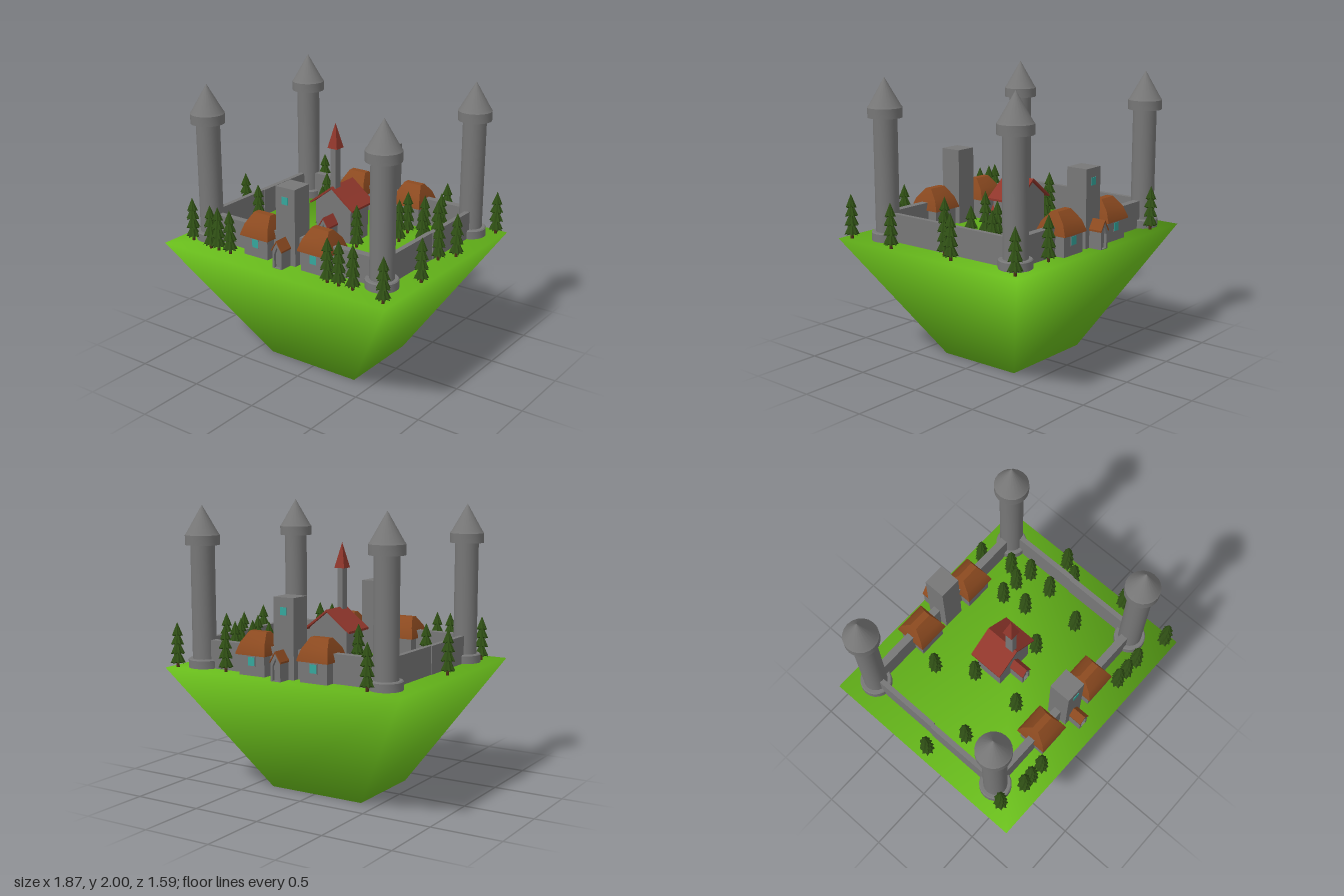
import * as THREE from 'three';
import { mergeVertices, toCreasedNormals, mergeGeometries } from 'three/addons/utils/BufferGeometryUtils.js';

const mat = (color) => new THREE.MeshStandardMaterial({ color });
const stone = mat(0x777777);
const grass = mat(0x6abf1c);
const brown = mat(0x8c4a20);
const red = mat(0x8f362b);
const glass = mat(0x35a79c);
const leaf = mat(0x2f4f14);
const bark = mat(0x4a3018);

const GROUND = 0.885;

function add(parent, name, geometry, material, x = 0, y = 0, z = 0) {
  const mesh = new THREE.Mesh(geometry, material);
  mesh.name = name;
  mesh.position.set(x, y, z);
  parent.add(mesh);
  return mesh;
}

function addGroup(parent, name, x, y, z) {
  const group = new THREE.Group();
  group.name = name;
  group.position.set(x, y, z);
  parent.add(group);
  return group;
}

// Box standing on its base
function block(w, h, d) {
  return new THREE.BoxGeometry(w, h, d).translate(0, h / 2, 0);
}

// Rectangular loft through levels [halfX, halfZ, y], lowest first
function loft(levels) {
  const n = levels.length - 1;
  const geo = new THREE.BoxGeometry(2, 1, 2, 1, n, 1);
  const p = geo.attributes.position;
  for (let i = 0; i < p.count; i++) {
    const [hx, hz, y] = levels[Math.round((p.getY(i) + 0.5) * n)];
    p.setXYZ(i, p.getX(i) * hx, y, p.getZ(i) * hz);
  }
  geo.deleteAttribute('uv');
  geo.deleteAttribute('normal');
  return mergeVertices(geo);
}

function polygon(points) {
  return new THREE.Shape(points.map(([x, y]) => new THREE.Vector2(x, y)));
}

function extrude(shape, depth) {
  return new THREE.ExtrudeGeometry(shape, { depth, bevelEnabled: false });
}

function gable(half, eave, ridge) {
  return polygon([[-half, 0], [half, 0], [half, eave], [0, ridge], [-half, eave]]);
}

// Chevron of two roof slabs, the ridge running along z
function gableRoof(half, eave, ridge, t, depth) {
  return extrude(polygon([
    [-half, eave], [0, ridge], [half, eave],
    [half, eave + t], [0, ridge + t], [-half, eave + t],
  ]), depth);
}

// Small porch with a pointed doorway
function porch(parent, roofMaterial, x, z, depth) {
  const g = addGroup(parent, 'porch', x, 0, z);
  const front = gable(0.038, 0.125, 0.188);
  const door = new THREE.Path();
  door.moveTo(-0.023, 0.004).lineTo(-0.023, 0.1).lineTo(0, 0.15).lineTo(0.023, 0.1).lineTo(0.023, 0.004);
  front.holes.push(door);
  add(g, 'porchWalls', extrude(front, depth), stone);
  add(g, 'porchDoor', extrude(gable(0.024, 0.1, 0.152), 0.01), stone, 0, 0, depth - 0.03);
  add(g, 'porchRoof', gableRoof(0.043, 0.12, 0.188, 0.012, depth + 0.005), roofMaterial);
}

function house(parent, x) {
  const g = addGroup(parent, 'house', x, 0, 0);
  add(g, 'houseWalls', block(0.205, 0.16, 0.2), stone);
  const roof = loft([[0.12, 0.12, 0.14], [0.118, 0.117, 0.155], [0.1, 0.09, 0.22], [0.07, 0.025, 0.29]]);
  add(g, 'houseRoof', toCreasedNormals(roof, 0.5), brown);
  add(g, 'houseWindow', new THREE.BoxGeometry(0.05, 0.058, 0.012), glass, 0, 0.098, 0.1);
  add(g, 'windowFrame', new THREE.BoxGeometry(0.062, 0.07, 0.006), stone, 0, 0.098, 0.1);
}

// Gate tower, porch and two houses facing +z
function gatehouse(parent, z, facing) {
  const g = addGroup(parent, 'gatehouse', -0.01, GROUND, z);
  g.scale.z = facing;
  add(g, 'gateTower', block(0.158, 0.54, 0.158), stone);
  add(g, 'towerWindow', new THREE.BoxGeometry(0.05, 0.052, 0.012), glass, 0, 0.45, 0.077);
  porch(g, brown, 0, 0.07, 0.105);
  house(g, -0.245);
  house(g, 0.245);
}

function cornerTower(parent, x, z) {
  const profile = [
    [0, 0], [0.112, 0], [0.112, 0.055], [0.105, 0.062], [0.083, 0.062], [0.083, 0.845], [0.119, 0.845],
    [0.119, 0.912], [0.108, 0.927], [0, 1.115],
  ].map(([r, y]) => new THREE.Vector2(r, y));
  add(parent, 'cornerTower', toCreasedNormals(new THREE.LatheGeometry(profile, 20), 0.5), stone, x, GROUND, z);
}

// Fir foliage: stacked cones with pointed, star-shaped skirts
function firFoliage() {
  const tiers = [[0.052, 0.03, 0.11], [0.05, 0.095, 0.11], [0.047, 0.16, 0.1], [0.038, 0.22, 0.095]];
  return mergeGeometries(tiers.map(([r, y, h], k) => {
    const cone = new THREE.ConeGeometry(r, h, 16).toNonIndexed();
    const p = cone.attributes.position;
    for (let i = 0; i < p.count; i++) {
      const spoke = Math.round(Math.atan2(p.getZ(i), p.getX(i)) / (Math.PI / 8));
      if (p.getY(i) < 0 && spoke % 2 !== 0) {
        p.setXYZ(i, p.getX(i) * 0.72, p.getY(i) + 0.012, p.getZ(i) * 0.72);
      }
    }
    cone.rotateY(k * 0.2).translate(0, y + h / 2, 0);
    cone.computeVertexNormals();
    return cone;
  }));
}

function chapel(parent) {
  const g = addGroup(parent, 'chapel', -0.015, GROUND, 0);
  add(g, 'chapelWalls', extrude(gable(0.15, 0.265, 0.385), 0.21), stone, 0, 0, -0.16);
  // Roof slopes flare outwards towards the eaves
  const roof = polygon([
    [-0.183, 0.245], [-0.1, 0.305], [0, 0.384], [0.1, 0.305], [0.183, 0.245],
    [0.183, 0.26], [0.1, 0.322], [0, 0.4], [-0.1, 0.322], [-0.183, 0.26],
  ]);
  add(g, 'chapelRoof', extrude(roof, 0.26), red, 0, 0, -0.185);
  porch(g, red, -0.002, 0.045, 0.12);
  add(g, 'steeple', block(0.042, 0.4, 0.062), stone, 0, 0.275, 0.022);
  const spire = new THREE.ConeGeometry(0.04 * Math.SQRT2, 0.178, 4).rotateY(Math.PI / 4);
  add(g, 'spire', toCreasedNormals(spire, 0.3), red, 0, 0.761, 0.022);
}

export function createModel() {
  const model = new THREE.Group();
  model.name = 'floatingCastle';

  // Tapering island with softly shared normals
  const island = loft([[0.365, 0.313, 0], [0.925, 0.793, GROUND]]);
  island.computeVertexNormals();
  add(model, 'island', island, grass, -0.01, 0, 0);

  // Corner towers and the front and back walls
  for (const z of [0.515, -0.615]) {
    for (const x of [-0.735, 0.71]) cornerTower(model, x, z);
    add(model, 'curtainWall', block(1.42, 0.196, 0.055), stone, -0.012, GROUND, z);
  }

  // Side walls, each in two lengths that meet slightly out of line
  for (const x of [-0.742, 0.722]) {
    add(model, 'sideWallFront', block(0.036, 0.196, 0.57), stone, x - 0.003, GROUND, 0.235);
    add(model, 'sideWallBack', block(0.036, 0.196, 0.57), stone, x + 0.003, GROUND, -0.335);
  }

  gatehouse(model, 0.513, 1);
  gatehouse(model, -0.613, -1);
  chapel(model);

  // Fir trees at [x, z]
  const spots = [
    [-0.665, -0.73], [0.855, -0.73], [0.47, -0.69], [0.55, -0.475], [0.34, -0.365], [0.48, -0.365],
    [0.605, -0.335], [-0.38, -0.37], [0.38, -0.19], [0.595, -0.145], [0.845, -0.19], [0.775, -0.07],
    [-0.235, -0.12], [-0.86, -0.005], [-0.62, 0.14], [0.2, 0.07], [-0.22, 0.25], [0.515, 0.165],
    [0.88, 0.315], [-0.61, 0.67], [-0.54, 0.67], [-0.435, 0.67], [-0.81, 0.63], [0.39, 0.67],
    [0.48, 0.67], [0.59, 0.67], [0.855, 0.72],
  ];
  const foliage = firFoliage();
  const trunk = new THREE.CylinderGeometry(0.009, 0.011, 0.06, 8).translate(0, 0.03, 0);
  for (const [x, z] of spots) {
    const tree = addGroup(model, 'firTree', x, GROUND, z);
    add(tree, 'trunk', trunk, bark);
    add(tree, 'foliage', foliage, leaf);
  }
  return model;
}
